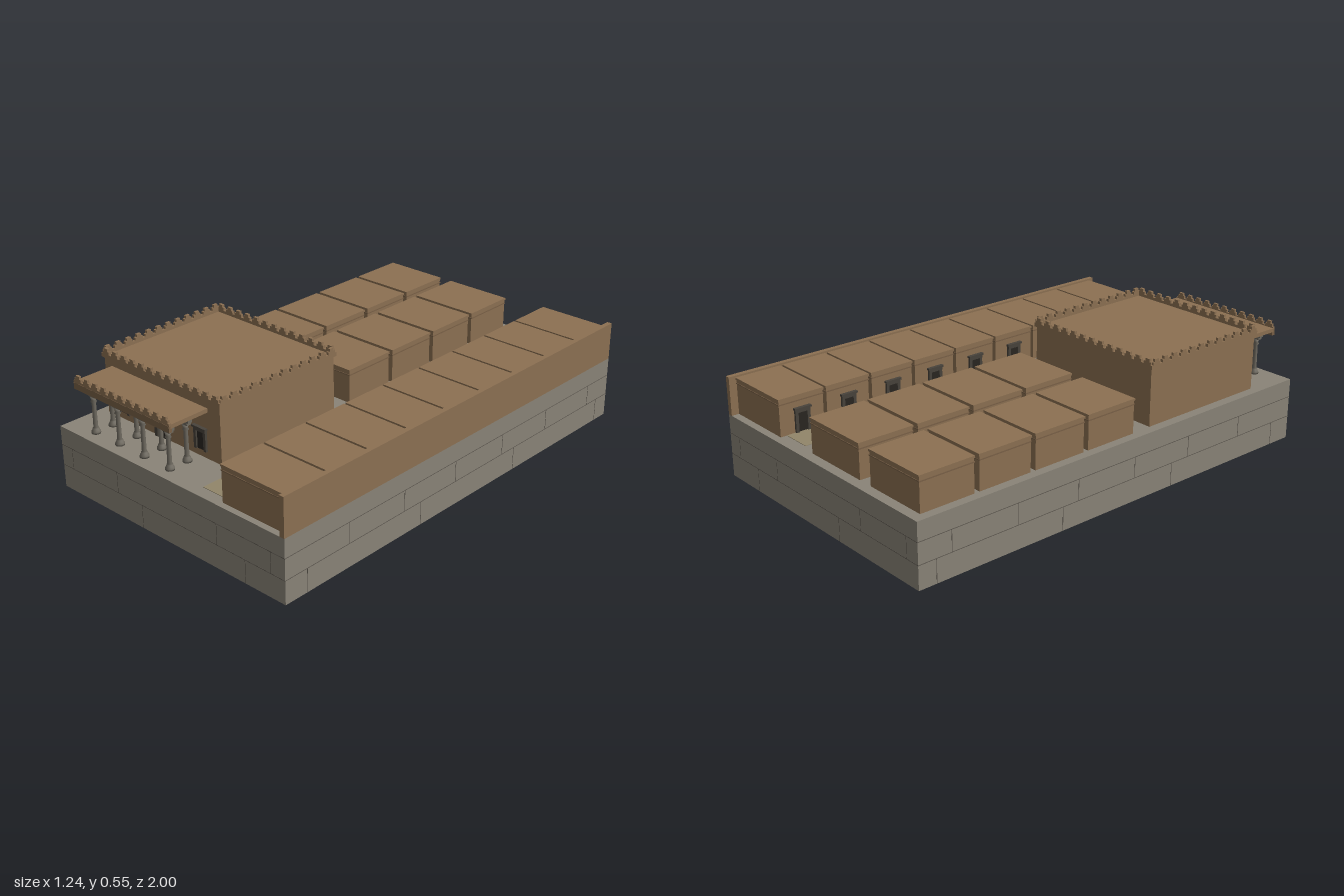
import * as THREE from 'three';

const mat = (color, extra = {}) => new THREE.MeshStandardMaterial({ color, ...extra });
const stone = mat(0x8a8478, { side: THREE.DoubleSide });
const seam = mat(0x59544c);
const clay = mat(0x8c7052);
const trim = mat(0x7a6147);
const frameMat = mat(0x48433b);
const dark = mat(0x292521);
const columnMat = mat(0x6f6a60);
const pathMat = mat(0x92866a);
const GROUND = 0.27;

function add(parent, name, geometry, material, x = 0, y = 0, z = 0) {
  const m = new THREE.Mesh(geometry, material);
  m.name = name;
  m.position.set(x, y, z);
  parent.add(m);
  return m;
}

// Box given by its lower and upper corners
function box(parent, name, material, x0, x1, y0, y1, z0, z1) {
  return add(parent, name, new THREE.BoxGeometry(x1 - x0, y1 - y0, z1 - z0), material,
    (x0 + x1) / 2, (y0 + y1) / 2, (z0 + z1) / 2);
}

function group(parent, name, x = 0, y = 0, z = 0) {
  const g = new THREE.Group();
  g.name = name;
  g.position.set(x, y, z);
  parent.add(g);
  return g;
}

// Parapet with stepped merlons, centred on x and z, rising from y = 0
function crenellation(length, count, band, height, depth) {
  const s = new THREE.Shape();
  const pitch = length / count, x0 = -length / 2, mid = band + (height - band) * 0.5;
  s.moveTo(x0, 0);
  s.lineTo(x0, band);
  for (let i = 0; i < count; i++) {
    const c = x0 + (i + 0.5) * pitch, a = pitch * 0.36, b = pitch * 0.2;
    for (const [dx, y] of [[-a, band], [-a, mid], [-b, mid], [-b, height],
      [b, height], [b, mid], [a, mid], [a, band]]) s.lineTo(c + dx, y);
  }
  s.lineTo(-x0, band);
  s.lineTo(-x0, 0);
  return new THREE.ExtrudeGeometry(s, { depth, bevelEnabled: false }).translate(0, 0, -depth / 2);
}

// Framed opening facing +z with a flared cornice
function opening(parent, name, x, y, z, w, h) {
  const g = group(parent, name, x, y, z);
  const jamb = w * 0.2;
  box(g, 'recess', dark, -w / 2 + jamb, w / 2 - jamb, 0, h * 0.88, -0.002, 0.003);
  for (const s of [-1, 1]) {
    add(g, 'jamb', new THREE.BoxGeometry(jamb, h * 0.9, 0.012), frameMat, s * (w - jamb) / 2, h * 0.45, 0.004);
  }
  box(g, 'lintel', frameMat, -w / 2, w / 2, h * 0.8, h * 0.92, -0.002, 0.011);
  box(g, 'cornice', frameMat, -w / 2 - 0.004, w / 2 + 0.004, h * 0.92, h, -0.002, 0.015);
  return g;
}

function platform(root) {
  const g = group(root, 'platform');
  box(g, 'stoneTerrace', stone, -0.62, 0.62, 0.1, GROUND, -1, 1);
  box(g, 'underside', dark, -0.618, 0.618, 0.098, 0.102, -0.998, 0.998);
  // Hollow lowest course
  for (const s of [-1, 1]) {
    box(g, 'skirt', stone, -0.62, 0.62, 0, 0.1, s * 0.998 - 0.002, s * 0.998 + 0.002);
    box(g, 'skirt', stone, s * 0.618 - 0.002, s * 0.618 + 0.002, 0, 0.1, -0.996, 0.996);
  }
  // Course lines and staggered joints
  const t = 0.0012, e = 0.0006;
  for (const s of [-1, 1]) {
    const joint = (onZ, p, y0, y1) => (onZ
      ? box(g, 'joint', seam, p - t, p + t, y0, y1, s - e, s + e)
      : box(g, 'joint', seam, s * 0.62 - e, s * 0.62 + e, y0, y1, p - t, p + t));
    for (const y of [0.1, 0.19]) {
      box(g, 'courseLine', seam, -0.62, 0.62, y - t, y + t, s - e, s + e);
      box(g, 'courseLine', seam, s * 0.62 - e, s * 0.62 + e, y - t, y + t, -1, 1);
    }
    for (const x of [-0.555, -0.28, 0.275, 0.55]) joint(true, x, 0.1, 0.19);
    for (const x of [-0.14, 0.42]) joint(true, x, 0, 0.1);
    for (const z of [0.67, 0.365, 0.06, -0.24, -0.54, -0.85]) joint(false, z, 0.1, 0.19);
    for (const z of [0.89, 0.27, -0.32, -0.92]) joint(false, z, 0, 0.1);
  }
}

function column(parent, x, z) {
  const g = group(parent, 'column', x, GROUND, z);
  const profile = [[0, 0], [0.019, 0], [0.019, 0.008], [0.015, 0.014], [0.013, 0.022], [0.0095, 0.026],
    [0.0085, 0.13], [0.013, 0.136], [0.009, 0.143], [0.014, 0.158], [0, 0.158]];
  add(g, 'shaft', new THREE.LatheGeometry(profile.map(p => new THREE.Vector2(...p)), 12), columnMat);
  // Double-bracket capital
  box(g, 'capitalBlock', columnMat, -0.02, 0.02, 0.158, 0.172, -0.01, 0.01);
  box(g, 'capitalTop', columnMat, -0.028, 0.028, 0.17, 0.182, -0.01, 0.01);
  box(g, 'bearing', columnMat, -0.013, 0.013, 0.18, 0.2, -0.013, 0.013);
}

function hall(root) {
  const g = group(root, 'mainHall');
  box(g, 'hallWalls', clay, -0.578, 0.085, GROUND, 0.518, 0.178, 0.79);
  // Parapet on all four sides
  for (const s of [-1, 1]) {
    add(g, 'parapet', crenellation(0.68, 13, 0.017, 0.041, 0.012), clay, -0.247, 0.513, 0.484 + s * 0.307);
    add(g, 'parapet', crenellation(0.626, 12, 0.017, 0.041, 0.012), clay,
      -0.247 + s * 0.334, 0.513, 0.484).rotation.y = Math.PI / 2;
  }
  opening(g, 'mainDoor', -0.243, GROUND, 0.79, 0.085, 0.155);
  for (const x of [-0.47, -0.024]) opening(g, 'window', x, 0.3, 0.79, 0.066, 0.098);

  // Portico on two rows of columns
  const p = group(root, 'portico');
  box(p, 'porticoRoof', clay, -0.535, 0.018, 0.468, 0.485, 0.785, 0.97);
  box(p, 'frontBeam', trim, -0.535, 0.018, 0.453, 0.48, 0.963, 0.978);
  add(p, 'frontCresting', crenellation(0.553, 11, 0.012, 0.035, 0.01), clay, -0.2585, 0.478, 0.972);
  for (const z of [0.855, 0.94]) {
    for (const x of [-0.47, -0.325, -0.18, -0.035]) column(p, x, z);
  }
}

function house(parent, name, x0, x1, y1, z0, z1) {
  const g = group(parent, name), o = 0.003;
  box(g, 'houseWalls', clay, x0 + o, x1 - o, GROUND, y1 - 0.008, z0 + o, z1 - o);
  box(g, 'stringCourse', trim, x0 + 0.001, x1 - 0.001, y1 - 0.027, y1 - 0.022, z0 + 0.001, z1 - 0.001);
  box(g, 'roofSlab', clay, x0, x1, y1 - 0.009, y1, z0, z1);
  return g;
}

export function createModel() {
  const root = new THREE.Group();
  root.name = 'walledCompound';
  platform(root);
  hall(root);

  // Two files of houses behind the hall, doors to the front
  for (let i = 0; i < 4; i++) {
    const z0 = -0.96 + i * 0.266, z1 = z0 + 0.248;
    for (const [x0, x1] of [[-0.585, -0.29], [-0.23, 0.085]]) {
      const h = house(root, 'courtHouse', x0, x1, 0.418, z0, z1);
      opening(h, 'door', (x0 + x1) / 2, GROUND, z1 - 0.003, 0.068, 0.105);
    }
  }

  // Row of houses along the boundary wall, doors to the street
  for (let i = 0; i < 9; i++) {
    const z0 = -0.97 + i * 0.2175, z1 = z0 + 0.207, zc = (z0 + z1) / 2;
    const h = house(root, 'rowHouse', 0.284, 0.6, 0.427, z0, z1);
    opening(h, 'door', 0.287, GROUND, zc, 0.068, 0.105).rotation.y = -Math.PI / 2;
    box(h, 'doorstepPaving', pathMat, 0.155, 0.285, GROUND - 0.002, GROUND + 0.002, zc - 0.074, zc + 0.074);
  }
  box(root, 'boundaryWall', clay, 0.598, 0.62, GROUND, 0.435, -1, 1);
  return root;
}
